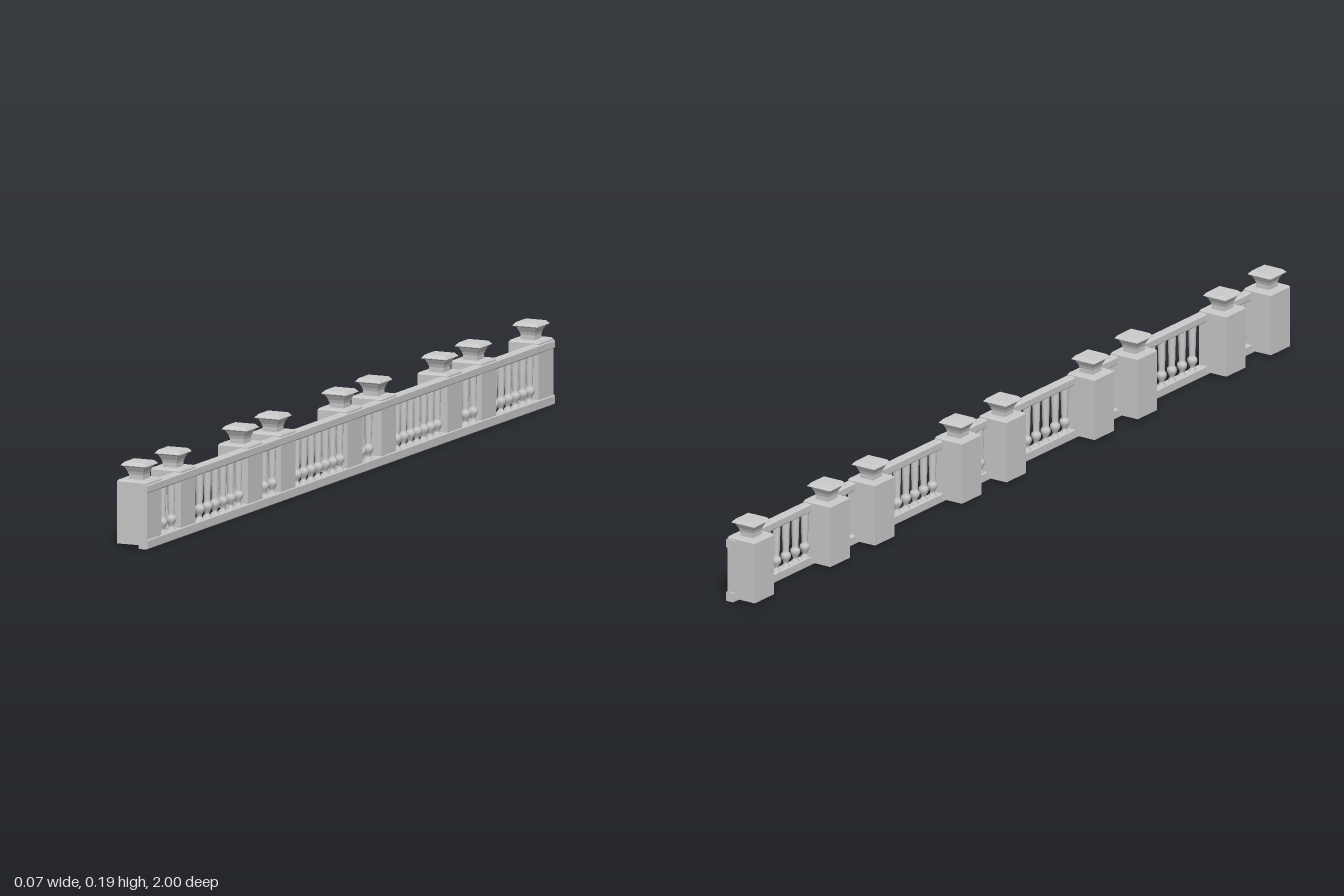
import * as THREE from 'three';

const flat = new THREE.MeshStandardMaterial({ color: 0xcccccc, flatShading: true });
const smooth = new THREE.MeshStandardMaterial({ color: 0xcccccc });

// Square-plan solid from a profile of [half width, y], bottom to top
function squareTurned(profile) {
  const points = profile.map(([w, y]) => new THREE.Vector2(w * Math.SQRT2, y));
  return new THREE.LatheGeometry(points, 4, Math.PI / 4).toNonIndexed();
}

// Bar along z with chamfered long edges
function rail(name, x0, x1, y0, y1, c) {
  const s = new THREE.Shape([
    [x0 + c, y0], [x1 - c, y0], [x1, y0 + c], [x1, y1 - c],
    [x1 - c, y1], [x0 + c, y1], [x0, y1 - c], [x0, y0 + c],
  ].map(([x, y]) => new THREE.Vector2(x, y)));
  const g = new THREE.ExtrudeGeometry(s, { depth: 2, bevelEnabled: false });
  g.translate(0, 0, -1);
  const m = new THREE.Mesh(g, flat);
  m.name = name;
  return m;
}

export function createModel() {
  const root = new THREE.Group();
  root.name = 'balustrade';

  // Rails along the outer face
  root.add(rail('bottomRail', 0.015, 0.037, 0, 0.021, 0.002));
  root.add(rail('topRail', 0.015, 0.037, 0.122, 0.142, 0.003));

  // Posts with a chamfered top, and flared pedestal caps
  const half = 0.036;
  const postGeo = squareTurned([[0, 0.008], [half, 0.008], [half, 0.144], [0.033, 0.148], [0, 0.148]]);
  const capGeo = squareTurned([
    [0.017, 0.147], [0.017, 0.158], [0.019, 0.165], [0.024, 0.175],
    [0.030, 0.178], [0.030, 0.179], [0.024, 0.186], [0, 0.186],
  ]);
  const postZ = [0.963, 0.797, 0.467, 0.306, -0.022, -0.188, -0.512, -0.678, -0.960];
  for (const z of postZ) {
    const post = new THREE.Group();
    post.name = 'post';
    const body = new THREE.Mesh(postGeo, flat);
    body.name = 'postBody';
    const cap = new THREE.Mesh(capGeo, flat);
    cap.name = 'postCap';
    post.add(body, cap);
    post.position.set(-0.001, 0, z);
    root.add(post);
  }

  // Balusters: slim shaft over a bulb and a narrow foot
  const balusterGeo = new THREE.LatheGeometry([
    [0.009, 0.018], [0.009, 0.023], [0.005, 0.027], [0.006, 0.032], [0.010, 0.039],
    [0.0115, 0.045], [0.010, 0.050], [0.007, 0.053], [0.007, 0.058], [0.008, 0.085], [0.009, 0.125],
  ].map(([r, y]) => new THREE.Vector2(r, y)), 12);
  // Each bay: first z, last z, count
  const bays = [
    [0.904, 0.861, 2], [0.722, 0.532, 6], [0.406, 0.366, 2], [0.246, 0.035, 7],
    [-0.070, -0.107, 2], [-0.246, -0.444, 7], [-0.583, -0.620, 2], [-0.722, -0.898, 6],
  ];
  for (const [a, b, n] of bays) {
    for (let i = 0; i < n; i++) {
      const m = new THREE.Mesh(balusterGeo, smooth);
      m.name = 'baluster';
      m.position.set(0.0255, 0, a + (b - a) * i / (n - 1));
      root.add(m);
    }
  }
  return root;
}
